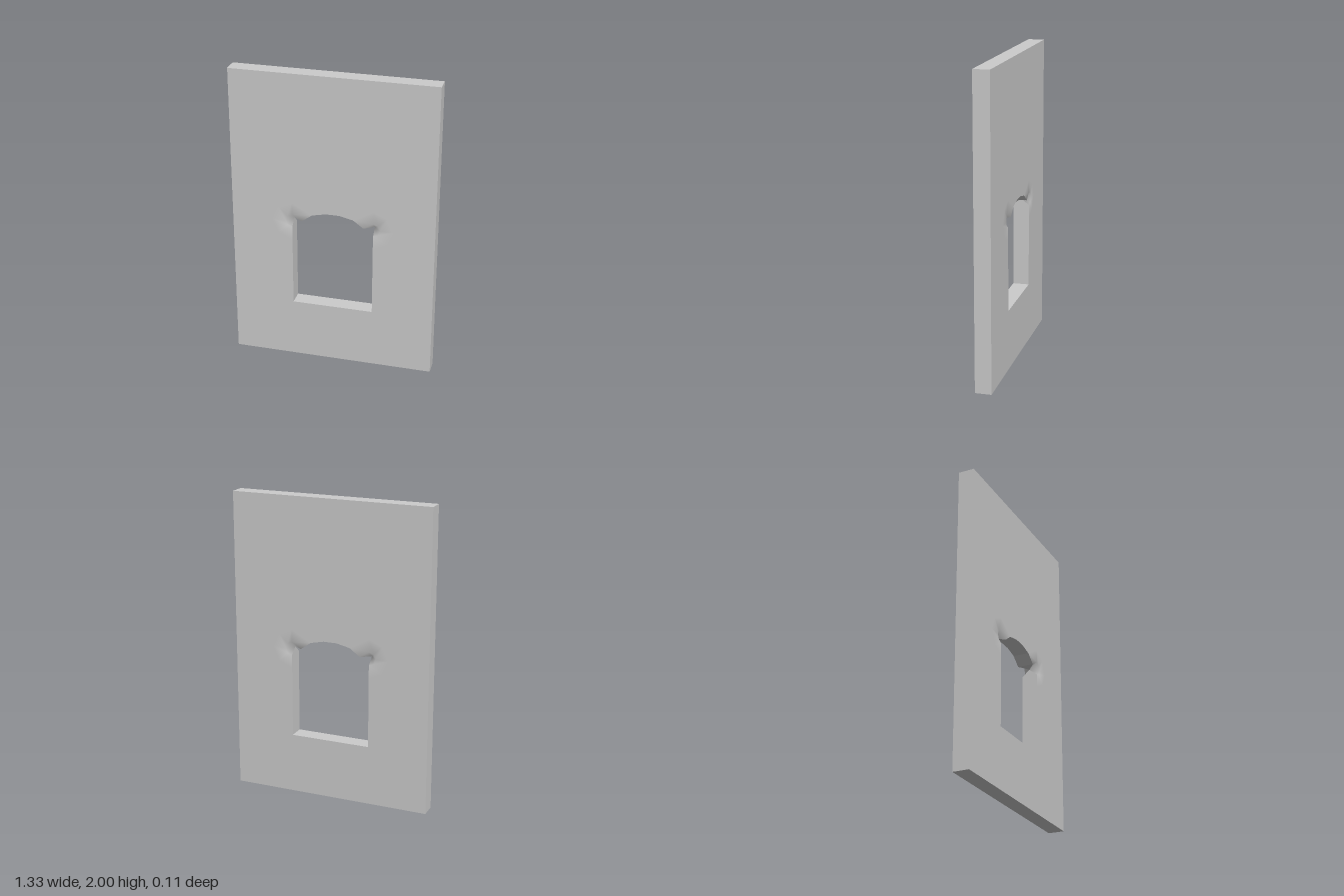
import * as THREE from 'three';

const W = 0.667, H = 2, D = 0.053;      // half width, height, half depth
const CX = 0.267, CY = 1.0, SILL = 0.4; // opening corner and sill

// Rings round the pinched opening corner, as offsets from it (right-hand side)
const inner = [[0, -0.045], [0.032, -0.032], [0.045, 0], [0.032, 0.032], [0, 0.045], [-0.063, 0.005]];
const outer = [[0, -0.13], [0.09, -0.09], [0.13, 0], [0.09, 0.09], [0, 0.13], [-0.132, 0.055]];
const archTop = [0.045, 1.075];

const material = new THREE.MeshStandardMaterial({ color: 0xcccccc, side: THREE.DoubleSide });

function buildGeometry(positions, index) {
  const g = new THREE.BufferGeometry();
  g.setAttribute('position', new THREE.Float32BufferAttribute(positions.flat(), 3));
  if (index) g.setIndex(index);
  g.computeVertexNormals();
  return g;
}

// Closed band between front and back copies of a loop of [x, y, halfDepth]
function band(loop, inward) {
  const tris = [];
  loop.forEach(([x, y, d], i) => {
    const [u, v, e] = loop[(i + 1) % loop.length];
    const a = [x, y, d], b = [u, v, e], c = [u, v, -e], f = [x, y, -d];
    const faces = inward ? [[a, b, c], [a, c, f]] : [[a, c, b], [a, f, c]];
    for (const t of faces) {
      const [p, q, r] = t.map((k) => new THREE.Vector3(...k));
      if (new THREE.Triangle(p, q, r).getArea() > 1e-7) tris.push(...t);
    }
  });
  return buildGeometry(tris);
}

// Softly shaded dent where the face is drawn in to the middle of the wall
function dentGeometry(sx, sz) {
  const n = inner.length;
  const place = ([x, y], z) => [sx * (CX + x), CY + y, sz * z];
  const positions = [place([0, 0], 0), ...inner.map((p) => place(p, D)), ...outer.map((p) => place(p, D))];
  const index = [];
  const add = (a, b, c) => index.push(...(sx * sz > 0 ? [a, b, c] : [a, c, b]));
  for (let i = 1; i < n; i++) {
    add(0, i, i + 1);
    add(i, i + n, i + n + 1);
    add(i, i + n + 1, i + 1);
  }
  const g = buildGeometry(positions, index);
  // The outer ring meets the flat face without a seam
  for (let i = n + 1; i <= 2 * n; i++) g.attributes.normal.setXYZ(i, 0, 0, sz);
  return g;
}

// Right-hand outline from sill to arch crown, completed by its mirror image
const mirrored = (half) => [...half, ...half.map(([x, ...rest]) => [-x, ...rest]).reverse()];

export function createModel() {
  const group = new THREE.Group();
  const add = (name, geometry) => {
    const mesh = new THREE.Mesh(geometry, material);
    mesh.name = name;
    group.add(mesh);
    return mesh;
  };

  // Flat faces, cut round the opening and the corner dents
  const shape = new THREE.Shape([[-W, 0], [W, 0], [W, H], [-W, H]].map((p) => new THREE.Vector2(...p)));
  const cut = mirrored([[CX, SILL], ...outer.map(([x, y]) => [CX + x, CY + y]), archTop]);
  shape.holes.push(new THREE.Path(cut.map((p) => new THREE.Vector2(...p))));
  add('frontFace', new THREE.ShapeGeometry(shape)).position.z = D;
  const back = add('backFace', new THREE.ShapeGeometry(shape));
  back.position.z = -D;
  back.rotation.y = Math.PI;

  // Outer edges of the slab
  add('outerEdges', band([[-W, 0, D], [W, 0, D], [W, H, D], [-W, H, D]], false));

  // Sill, jambs and arch soffit, pinched to a point at the springing corners
  const reveal = mirrored([
    [CX, SILL, D], [CX, CY + inner[0][1], D], [CX, CY, 0],
    ...[inner[5], outer[5]].map(([x, y]) => [CX + x, CY + y, D]),
    [...archTop, D],
  ]);
  add('openingReveal', band(reveal, true));

  for (const sx of [1, -1]) {
    for (const sz of [1, -1]) {
      add(`${sz > 0 ? 'front' : 'back'}${sx > 0 ? 'Left' : 'Right'}CornerDent`, dentGeometry(sx, sz));
    }
  }
  return group;
}
